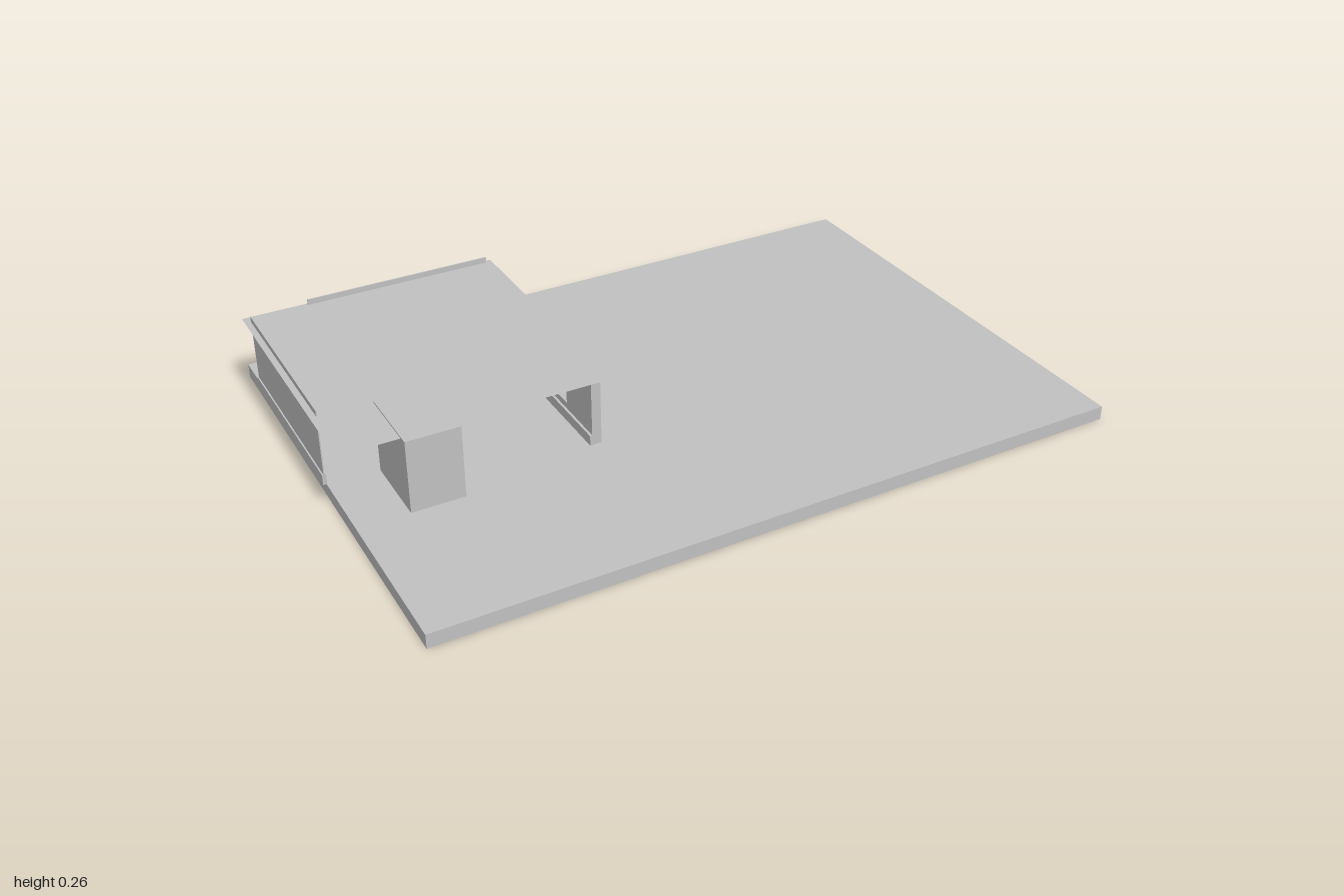
import * as THREE from 'three';

export function createModel() {
  const group = new THREE.Group();
  const grey = new THREE.MeshStandardMaterial({ color: 0xc0c0c0, side: THREE.DoubleSide });
  grey.name = 'plain grey';

  const add = (name, geometry) => {
    const mesh = new THREE.Mesh(geometry, grey);
    mesh.name = name;
    group.add(mesh);
    return mesh;
  };

  // Box given by its extents along each axis
  const box = (name, x0, x1, y0, y1, z0, z1) =>
    add(name, new THREE.BoxGeometry(x1 - x0, y1 - y0, z1 - z0))
      .position.set((x0 + x1) / 2, (y0 + y1) / 2, (z0 + z1) / 2);

  const floor = 0.04, wallTop = 0.245, screenTop = 0.261, skirtTop = 0.07;

  // Ground slab
  box('groundSlab', -0.977, 0.999, 0, floor, -0.675, 0.675);

  // Long side wall with a window opening, drawn in (-z, y) and extruded along x
  const outline = new THREE.Shape([
    [-0.17, floor], [0.57, floor], [0.57, wallTop - 0.001], [-0.17, wallTop - 0.001],
  ].map(([a, b]) => new THREE.Vector2(a, b)));
  outline.holes.push(new THREE.Path([
    [-0.02, 0.088], [-0.02, 0.17], [0.185, 0.17], [0.185, 0.088],
  ].map(([a, b]) => new THREE.Vector2(a, b))));
  const wall = new THREE.ExtrudeGeometry(outline, { depth: 0.027, bevelEnabled: false });
  wall.rotateY(Math.PI / 2).translate(-0.305, 0, 0);
  add('windowWall', wall);

  // Opposite wall, leaving a doorway behind the entrance block
  box('rearSideWall', -0.835, -0.812, floor, wallTop - 0.001, -0.57, -0.13);

  // Entrance block
  box('entranceBlock', -0.835, -0.687, floor, 0.249, 0.012, 0.226);

  // Thin screens that rise slightly above the roof
  box('backScreen', -0.815, -0.278, floor, screenTop, -0.564, -0.56);
  box('sideScreen', -0.982, -0.979, floor, screenTop, -0.543, 0.005);

  // Skirting strips
  box('backSkirting', -0.812, -0.305, floor, skirtTop, -0.568, -0.554);
  box('sideScreenSkirting', -0.986, -0.975, floor, skirtTop, -0.543, 0.005);
  box('windowWallSkirting', -0.312, -0.305, floor, skirtTop, -0.554, 0.172);
  box('rearWallSkirting', -0.839, -0.835, floor, skirtTop, -0.57, -0.13);

  // Flat roof sheet
  const roof = add('roof', new THREE.PlaneGeometry(0.738, 0.77).rotateX(-Math.PI / 2));
  roof.position.set(-0.63, wallTop, -0.185);

  return group;
}
